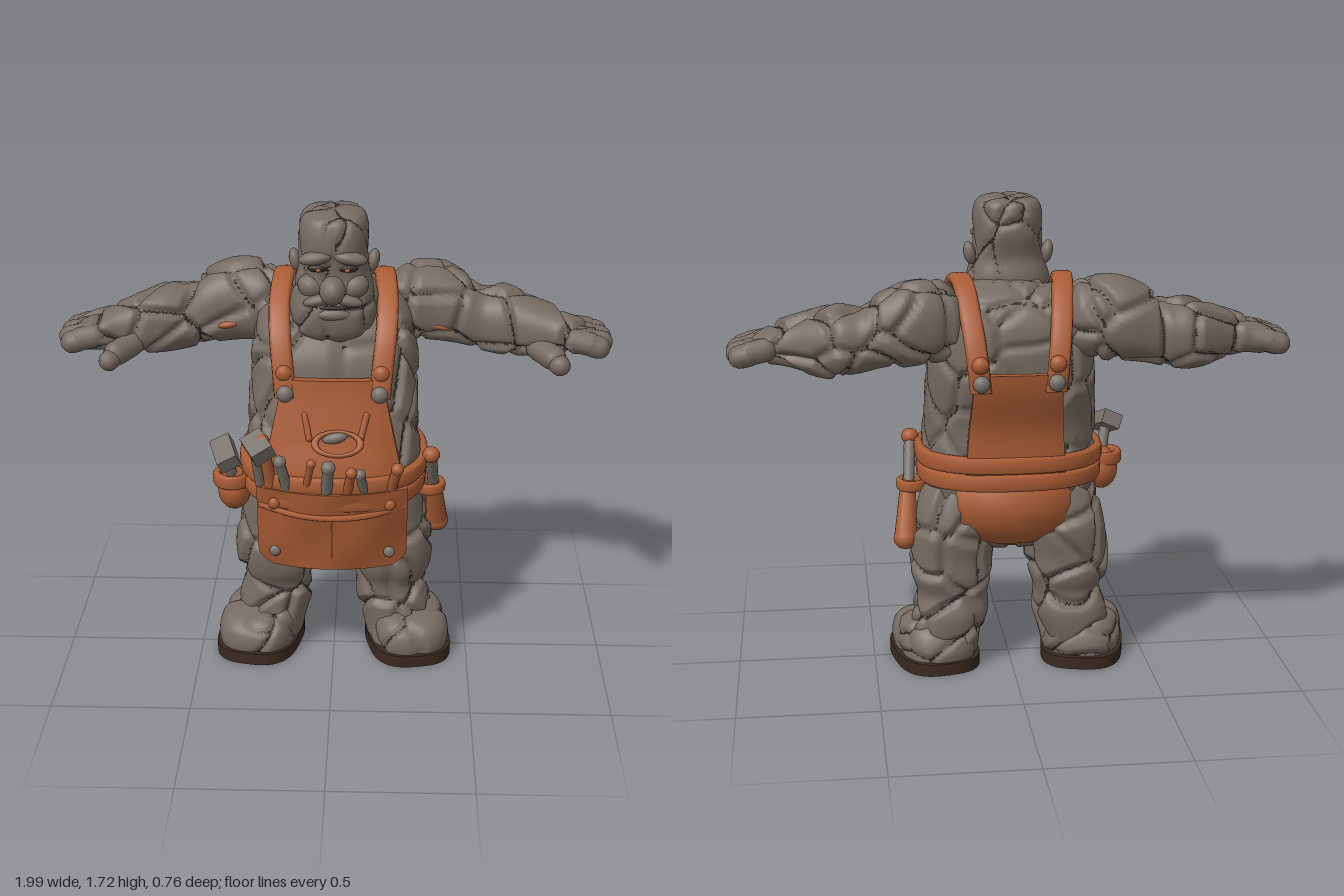
import * as THREE from 'three';

const mat = (name, color) => {
  const m = new THREE.MeshStandardMaterial({ color });
  m.name = name;
  return m;
};
const STONE = mat('stone', 0x766b62), CRACK = mat('crack', 0x2e2824), LEATHER = mat('leather', 0xa95c34);
const SOLE = mat('sole', 0x3a2a20), METAL = mat('metal', 0x77716b), SEAM = mat('seam', 0x6b3a22);
const UP = new THREE.Vector3(0, 1, 0);

const hash = (x, y, z, k) => {
  const s = Math.sin(x * 127.1 + y * 311.7 + z * 74.7 + k * 53.3) * 43758.5453;
  return s - Math.floor(s);
};

// Nearest rock border measured along the surface: [distance, random value of the rock]
function rockBorder(p, normal, size, seed) {
  const q = p.clone().divideScalar(size), c = q.clone().floor(), pts = [];
  for (let i = -1; i <= 1; i++) for (let j = -1; j <= 1; j++) for (let k = -1; k <= 1; k++) {
    const x = c.x + i, y = c.y + j, z = c.z + k;
    const s = new THREE.Vector3(x + hash(x, y, z, seed), y + hash(x, y, z, seed + 1), z + hash(x, y, z, seed + 2));
    pts.push({ s, d: s.distanceTo(q), h: hash(x, y, z, seed + 3) });
  }
  const a = pts.reduce((m, o) => (o.d < m.d ? o : m)), dir = new THREE.Vector3();
  let best = 1;
  for (const b of pts) if (b !== a) {
    const len = dir.subVectors(b.s, a.s).length(), tilt = dir.dot(normal) / len;
    best = Math.min(best, (b.d * b.d - a.d * a.d) / (2 * len * Math.sqrt(Math.max(0.03, 1 - tilt * tilt))));
  }
  return [best * size, a.h];
}

// Smooth interpolation between cross-sections
const cr = (a, b, c, d, t) => b + 0.5 * t * (c - a + t * (2 * a - 5 * b + 4 * c - d + t * (3 * (b - c) + d - a)));
function ringAt(rings, t) {
  const n = rings.length - 1, i = Math.min(Math.floor(t), n - 1), f = t - i;
  const g = k => rings[Math.max(0, Math.min(n, k))];
  return g(i).map((_, k) => cr(g(i - 1)[k], g(i)[k], g(i + 1)[k], g(i + 2)[k], f));
}
const spow = (v, p) => Math.sign(v) * Math.abs(v) ** p;

// Cracked rock body through rings [x, y, z, radius A, radius B], along the y or x axis
function rockLoft(name, rings, { along = 'y', n, rows, p = 0.85, size, depth, seed }) {
  const pos = [], idx = [];
  for (let r = 0; r <= rows; r++) {
    const [x, y, z, a, b] = ringAt(rings, (r / rows) * (rings.length - 1));
    for (let i = 0; i < n; i++) {
      const th = (i / n) * Math.PI * 2, u = a * spow(Math.cos(th), p), v = b * spow(Math.sin(th), p);
      if (along === 'y') pos.push(x + u, y, z + v); else pos.push(x, y + u, z - v);
    }
  }
  const first = rings[0], last = rings[rings.length - 1], c0 = (rows + 1) * n;
  pos.push(...first.slice(0, 3), ...last.slice(0, 3));
  for (let i = 0; i < n; i++) {
    const j = (i + 1) % n;
    for (let r = 0; r < rows; r++) {
      const a = r * n + i, b = r * n + j;
      idx.push(a, a + n, b, b, a + n, b + n);
    }
    idx.push(c0, i, j, c0 + 1, rows * n + j, rows * n + i);
  }
  const geo = new THREE.BufferGeometry();
  geo.setAttribute('position', new THREE.Float32BufferAttribute(pos, 3));
  geo.setIndex(idx);
  geo.computeVertexNormals();
  const P = geo.attributes.position, N = geo.attributes.normal, v = new THREE.Vector3(), nv = new THREE.Vector3(), dist = [];
  for (let i = 0; i < P.count; i++) {
    v.fromBufferAttribute(P, i);
    nv.fromBufferAttribute(N, i);
    const [d, h] = rockBorder(v, nv, size, seed), s = THREE.MathUtils.smoothstep(d, 0, 0.024);
    dist.push(d);
    v.addScaledVector(nv, depth * (s - 1) + depth * (h - 0.3) * s * 0.7);
    P.setXYZ(i, v.x, v.y, v.z);
  }
  // Deepest faces of the gaps become the dark group
  const light = [], dark = [];
  for (let i = 0; i < idx.length; i += 3) {
    const [a, b, c] = idx.slice(i, i + 3);
    (dist[a] + dist[b] + dist[c] < 0.0135 ? dark : light).push(a, b, c);
  }
  geo.setIndex([...light, ...dark]);
  geo.addGroup(0, light.length, 0);
  geo.addGroup(light.length, dark.length, 1);
  geo.computeVertexNormals();
  const m = new THREE.Mesh(geo, [STONE, CRACK]);
  m.name = name;
  return m;
}

const TORSO = [[0, .47, -.05, .1, .08], [0, .55, -.04, .25, .15], [0, .68, .005, .3, .205], [0, .8, .005, .31, .25],
  [0, .95, -.015, .305, .235], [0, 1.1, -.055, .3, .24], [0, 1.22, -.07, .29, .235], [0, 1.33, -.095, .27, .195],
  [0, 1.41, -.1, .21, .135], [0, 1.45, -.09, .1, .07]];
const TP = 0.7;
function torsoZ(x, y, side) {
  let t = 0;
  while (t < 8.9 && ringAt(TORSO, t)[1] < y) t += 0.02;
  const [, , z, a, b] = ringAt(TORSO, t);
  return z + side * b * Math.max(0, 1 - Math.abs(x / a) ** (2 / TP)) ** (TP / 2);
}

export function createModel() {
  const root = new THREE.Group();
  const add = (name, geo, m, parent = root) => {
    const mesh = new THREE.Mesh(geo, m);
    mesh.name = name;
    parent.add(mesh);
    return mesh;
  };
  const ball = (name, m, [x, y, z], [a, b, c], rz = 0) => {
    const o = add(name, new THREE.SphereGeometry(1, 16, 10), m);
    o.position.set(x, y, z); o.scale.set(a, b, c); o.rotation.z = rz;
  };
  const rod = (name, m, a, b, r0, r1 = r0, round = false) => {
    const A = new THREE.Vector3(...a), B = new THREE.Vector3(...b), L = A.distanceTo(B);
    const o = add(name, round ? new THREE.CapsuleGeometry(r0, L, 4, 12) : new THREE.CylinderGeometry(r1, r0, L, 14), m);
    o.position.copy(A).add(B).multiplyScalar(0.5);
    o.quaternion.setFromUnitVectors(UP, B.sub(A).normalize());
  };
  const block = (name, m, [x, y, z], size, [rx, ry, rz]) => {
    const o = add(name, new THREE.BoxGeometry(...size), m);
    o.position.set(x, y, z); o.rotation.set(rx, ry, rz);
  };
  // Rounded band swept along a curve; W is the direction of its width
  const band = (name, m, pts, W, w, t, closed = false) => {
    const curve = new THREE.CatmullRomCurve3(pts.map(q => new THREE.Vector3(...q)), closed);
    const R = 56, n = 12, pos = [], idx = [];
    for (let r = 0; r <= R; r++) {
      const c = curve.getPoint(r / R), N = new THREE.Vector3().crossVectors(W, curve.getTangent(r / R)).normalize();
      for (let i = 0; i < n; i++) {
        const th = (i / n) * Math.PI * 2;
        const q = c.clone().addScaledVector(W, w / 2 * spow(Math.cos(th), .6)).addScaledVector(N, t / 2 * spow(Math.sin(th), .6));
        pos.push(q.x, q.y, q.z);
        const a = r * n + i, b = r * n + (i + 1) % n;
        if (r < R) idx.push(a, a + n, b, b, a + n, b + n);
      }
    }
    const g = new THREE.BufferGeometry();
    g.setAttribute('position', new THREE.Float32BufferAttribute(pos, 3));
    g.setIndex(idx);
    g.computeVertexNormals();
    add(name, g, m);
  };
  // Leather sheet bent by a rule: half width by height fraction, z by position
  const sheet = (name, m, y0, y1, half, zAt, t) => {
    const g = new THREE.BoxGeometry(1, 1, 1, 18, 16, 1), P = g.attributes.position;
    for (let i = 0; i < P.count; i++) {
      const v = P.getY(i) + 0.5, x = P.getX(i) * 2 * half(v), y = y0 + (y1 - y0) * v;
      P.setXYZ(i, x, y, zAt(x, y, v) + P.getZ(i) * t);
    }
    g.computeVertexNormals();
    add(name, g, m);
  };
  const circle = (x, y, z, a, b) => Array.from({ length: 12 }, (_, i) => [x + a * Math.cos(i * Math.PI / 6), y, z + b * Math.sin(i * Math.PI / 6)]);

  // Stone body and head
  root.add(rockLoft('torso', TORSO, { n: 144, rows: 80, p: TP, size: .2, depth: .016, seed: 3 }));
  root.add(rockLoft('head', [[0, 1.275, .08, .07, .05], [0, 1.31, .06, .13, .1], [0, 1.38, .035, .155, .138],
    [0, 1.45, .025, .145, .138], [0, 1.52, .025, .125, .125], [0, 1.6, .025, .122, .143], [0, 1.67, .025, .122, .14],
    [0, 1.715, .02, .103, .122], [0, 1.732, .02, .05, .06]], { n: 90, rows: 64, p: .8, size: .2, depth: .008, seed: 14 }));
  ball('nose', STONE, [0, 1.485, .2], [.046, .05, .058]);
  ball('lowerLip', STONE, [0, 1.385, .155], [.065, .022, .025]);
  ball('mouth', CRACK, [0, 1.411, .16], [.06, .007, .012]);
  for (const s of [1, -1]) {
    ball('brow', STONE, [s * .06, 1.585, .15], [.06, .024, .032], -s * .15);
    ball('eyeSocket', CRACK, [s * .052, 1.547, .146], [.036, .013, .012]);
    ball('eye', LEATHER, [s * .05, 1.543, .156], [.01, .007, .006]);
    ball('cheek', STONE, [s * .075, 1.475, .115], [.05, .042, .045], s * .4);
    ball('moustache', STONE, [s * .05, 1.435, .15], [.055, .02, .028], -s * .25);
    ball('ear', STONE, [s * .137, 1.53, -.015], [.022, .042, .03], -s * .2);
  }

  for (const s of [1, -1]) {
    // Arms
    const arm = [[.16, 1.3, -.15, .08, .08], [.25, 1.325, -.18, .135, .13], [.36, 1.325, -.2, .145, .135], [.46, 1.3, -.195, .133, .13],
      [.53, 1.265, -.19, .115, .122], [.61, 1.26, -.18, .122, .135], [.69, 1.25, -.15, .108, .125], [.77, 1.245, -.12, .085, .11],
      [.83, 1.238, -.1, .068, .115], [.89, 1.228, -.1, .055, .12], [.94, 1.22, -.1, .035, .1]].map(([x, ...r]) => [s * x, ...r]);
    root.add(rockLoft('arm', s > 0 ? arm : arm.reverse(), { along: 'x', n: 76, rows: 88, size: .17, depth: .018, seed: 20 + s * 5 }));
    ball('armPatch', LEATHER, [s * .38, 1.265, -.08], [.045, .014, .02], -s * .2);
    [[-.19, .945], [-.13, .955], [-.07, .955], [-.012, .94]].forEach(([z, tip]) => {
      rod('finger', STONE, [s * .86, 1.235, z * .9 - .01], [s * .91, 1.226, z], .042, .042, true);
      rod('fingerTip', STONE, [s * .92, 1.22, z], [s * tip, 1.215, z], .042, .042, true);
    });
    rod('thumb', STONE, [s * .73, 1.2, -.04], [s * .78, 1.185, .025], .045, .045, true);
    rod('thumbTip', STONE, [s * .785, 1.178, .03], [s * .8, 1.17, .06], .037, .037, true);

    // Legs and shoes
    const leg = [[.25, .06, -.04, .12, .13], [.24, .14, -.055, .13, .14], [.222, .22, -.06, .136, .14], [.212, .29, -.05, .125, .13],
      [.212, .36, -.045, .145, .153], [.212, .44, -.04, .15, .158], [.2, .55, -.05, .148, .163], [.18, .66, -.03, .14, .16],
      [.17, .74, -.02, .1, .13]].map(([x, ...r]) => [s * x, ...r]);
    root.add(rockLoft('leg', leg, { n: 80, rows: 66, size: .18, depth: .018, seed: 40 + s * 7 }));
    ball('kneePatch', LEATHER, [s * .18, .305, .05], [.035, .014, .03]);
    const shoe = new THREE.Group();
    shoe.name = 'shoe';
    shoe.position.set(s * .278, 0, -.018);
    shoe.rotation.y = s * .2;
    root.add(shoe);
    shoe.add(rockLoft('foot', [[0, .045, 0, .138, .19], [0, .09, 0, .145, .195], [0, .135, 0, .138, .182],
      [0, .17, -.01, .118, .145], [0, .19, -.03, .07, .09]], { n: 80, rows: 24, p: .75, size: .19, depth: .01, seed: 60 + s * 3 }));
    const sole = new THREE.CylinderGeometry(1, 1, .045, 48), P = sole.attributes.position;
    for (let i = 0; i < P.count; i++) P.setXYZ(i, .152 * spow(P.getX(i), .7), P.getY(i) + .0345, .205 * spow(P.getZ(i), .7));
    sole.computeVertexNormals();
    add('sole', sole, SOLE, shoe);

    // Shoulder straps with studs
    band('strap', LEATHER, [[.165, 1.09, .2], [.175, 1.2, .175], [.185, 1.3, .132], [.19, 1.39, .045], [.182, 1.452, -.07], [.172, 1.44, -.17],
      [.158, 1.35, -.268], [.142, 1.22, -.335], [.13, 1.1, -.34]].map(([x, y, z]) => [s * x, y, z]), new THREE.Vector3(1, 0, 0), .076, .038);
    for (const [x, y, z, m] of [[.17, 1.18, .19, LEATHER], [.165, 1.11, .21, METAL], [.133, 1.2, -.358, LEATHER], [.13, 1.135, -.362, METAL]])
      ball('strapStud', m, [s * x, y, z], [.03, .03, .024]);
    for (const [y, z, m] of [[.72, .275, LEATHER], [.515, .235, METAL]]) ball('pouchStud', m, [s * .205, y, z], [.021, .021, .014]);
  }

  // Apron: bib, back panel and seat
  sheet('bib', LEATHER, .74, 1.16, v => .275 - .1 * v ** .8, (x, y) => torsoZ(x, y, 1) + .022, .03);
  sheet('backPanel', LEATHER, .74, 1.16, v => .18 - .03 * v, (x, y, v) => torsoZ(x, y, -1) - .018 - .018 * v, .03);
  ball('seat', LEATHER, [0, .645, -.07], [.27, .18, .2]);

  // Double belt
  for (const [y, k] of [[.808, 0], [.742, -.006]]) {
    const pts = Array.from({ length: 32 }, (_, i) => {
      const th = (i / 32) * Math.PI * 2, z = Math.sin(th);
      return [(.322 + k) * spow(Math.cos(th), .8), y - .012 * z, .008 + (.288 + k) * spow(z, .8)];
    });
    band('belt', LEATHER, pts, UP, .063, .04, true);
  }

  // Front tool pouch
  const pouchZ = (x, y, v) => .215 + .07 * v - x * x + .006 * Math.sin(x * 22) * Math.sin(v * 6);
  sheet('pouch', LEATHER, .45, .775, v => .268 - .05 * Math.max(0, (.16 - v) / .16) ** 2, pouchZ, .08);
  sheet('pouchSeam', SEAM, .5, .68, () => .003, (x, y) => pouchZ(x, y, (y - .45) / .325) + .04, .006);
  band('pouchHem', LEATHER, [[-.26, .7, .235], [-.13, .685, .293], [0, .68, .312], [.13, .685, .293], [.26, .7, .235]], UP, .02, .02);
  const tools = [[-.25, .92, -.02, METAL, .018], [-.21, .97, -.03, LEATHER, .022], [-.15, .9, -.03, METAL, .02], [-.1, .9, .03, LEATHER, .014],
    [-.02, .89, .01, METAL, .022], [.05, .87, .02, LEATHER, .018], [.12, .86, -.02, METAL, .018], [.2, .87, .03, LEATHER, .02]];
  for (const [x, top, lean, m, r] of tools) {
    const z = .285 - x * x;
    rod('toolHandle', m, [x, .74, z], [x + lean, top, z + .06], r, r * .9);
    ball('toolEnd', m, [x + lean, top, z + .06], [r * 1.15, r * 1.15, r * 1.15]);
  }
  block('chiselHead', METAL, [-.255, .95, .31], [.08, .06, .1], [.4, .5, .3]);

  // Cord ring and clasp on the bib
  const ring = add('cordRing', new THREE.TorusGeometry(.08, .013, 8, 28), LEATHER);
  ring.position.set(.02, .95, .275); ring.scale.y = .55; ring.rotation.x = -.7;
  ball('clasp', METAL, [.01, .965, .255], [.045, .02, .02], .2);
  for (const x of [-.08, .1]) rod('cordEnd', LEATHER, [x, .96, .25], [x * 1.2, 1.04, .225], .012, .012, true);

  // Side pouch with a hammer on the right hip
  ball('sidePouch', LEATHER, [-.36, .695, .085], [.062, .08, .075]);
  band('pouchCuff', LEATHER, circle(-.365, .74, .09, .058, .062), UP, .05, .028, true);
  rod('hammerShaft', METAL, [-.355, .7, .09], [-.385, .85, .14], .02);
  block('hammerHead', METAL, [-.385, .855, .145], [.075, .055, .12], [.4, .3, .35]);

  // Long-handled tool in a loop on the left hip
  rod('mallet', METAL, [.352, .83, .085], [.365, .67, -.005], .022, .02);
  ball('malletKnob', LEATHER, [.352, .835, .09], [.032, .03, .032]);
  rod('malletGrip', LEATHER, [.382, .5, -.075], [.365, .69, .005], .042, .028);
  ball('malletEnd', LEATHER, [.383, .498, -.077], [.043, .04, .046]);
  band('malletLoop', LEATHER, circle(.352, .68, .008, .045, .05), UP, .04, .024, true);
  return root;
}
